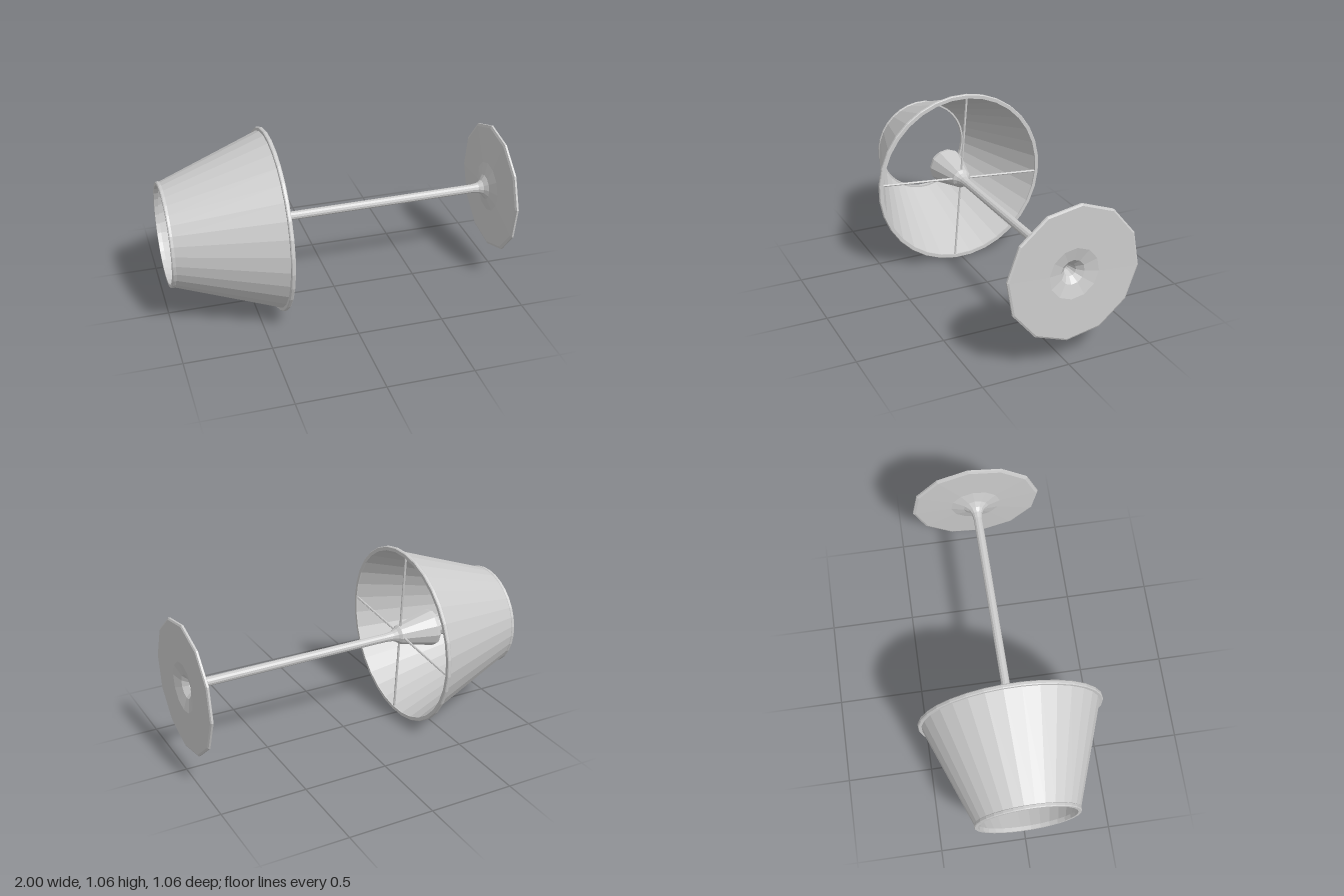
import * as THREE from 'three';

export function createModel() {
  const grey = new THREE.MeshStandardMaterial({ color: 0xcccccc, flatShading: true });
  grey.name = 'light grey';

  // The lamp is built upright around y, then laid on its side.
  const lamp = new THREE.Group();
  lamp.name = 'lamp';
  const add = (name, geometry) => {
    const mesh = new THREE.Mesh(geometry, grey);
    mesh.name = name;
    lamp.add(mesh);
    return mesh;
  };
  const lathe = (name, sides, points) =>
    add(name, new THREE.LatheGeometry(points.map(([r, y]) => new THREE.Vector2(r, y)), sides));

  // Foot, hollow stem and lower flare of the socket cup
  lathe('baseAndStem', 12, [
    [0, 0.4], [0.018, 0.4], [0.02, -0.9],
    [0.036, -0.945], [0.07, -0.975], [0.145, -0.993],
    [0.375, -0.995], [0.385, -0.99], [0.385, -0.979], [0.37, -0.973],
    [0.15, -0.964], [0.075, -0.945], [0.045, -0.925], [0.031, -0.9], [0.026, -0.865],
    [0.025, 0.28], [0.03, 0.325], [0.042, 0.35], [0.057, 0.368],
  ]);

  // Conical socket cup and bulb holder
  lathe('socketCup', 12, [[0.057, 0.368], [0.06, 0.385], [0.11, 0.58], [0.108, 0.6], [0, 0.6]]);
  lathe('bulbHolder', 12, [[0.06, 0.6], [0.06, 0.68], [0.052, 0.69], [0, 0.69]]);

  // Thin-walled shade with a raised rim at each end
  lathe('shade', 32, [[0.508, 0.375], [0.517, 0.375], [0.295, 0.985], [0.286, 0.985], [0.508, 0.375]]);
  const rim = (name, inner, outer, y0, y1) => lathe(name, 32, [
    [inner, y0], [outer - 0.004, y0], [outer, y0 + 0.005], [outer, y1 - 0.005],
    [outer - 0.004, y1], [inner, y1], [inner, y0],
  ]);
  rim('wideRim', 0.507, 0.531, 0.37, 0.393);
  rim('narrowRim', 0.28, 0.301, 0.973, 0.996);

  // Crossed wires carrying the shade
  for (let i = 0; i < 2; i++) {
    const spoke = add('shadeSpoke', new THREE.CylinderGeometry(0.007, 0.007, 1.03, 6));
    spoke.rotation.set(i ? Math.PI / 2 : 0, 0, i ? 0 : Math.PI / 2);
    spoke.position.y = 0.38;
  }

  // Turn on its own axis, lay on the side, and swing slightly off the x axis
  lamp.rotation.y = THREE.MathUtils.degToRad(5);
  const lying = new THREE.Group();
  lying.name = 'lyingLamp';
  lying.rotation.z = Math.PI / 2;
  lying.add(lamp);

  const model = new THREE.Group();
  model.name = 'tableLamp';
  const swing = new THREE.Group();
  swing.name = 'swing';
  swing.rotation.y = 0.0125;
  swing.position.set(0, 0.531, -0.007);
  swing.add(lying);
  model.add(swing);
  return model;
}
